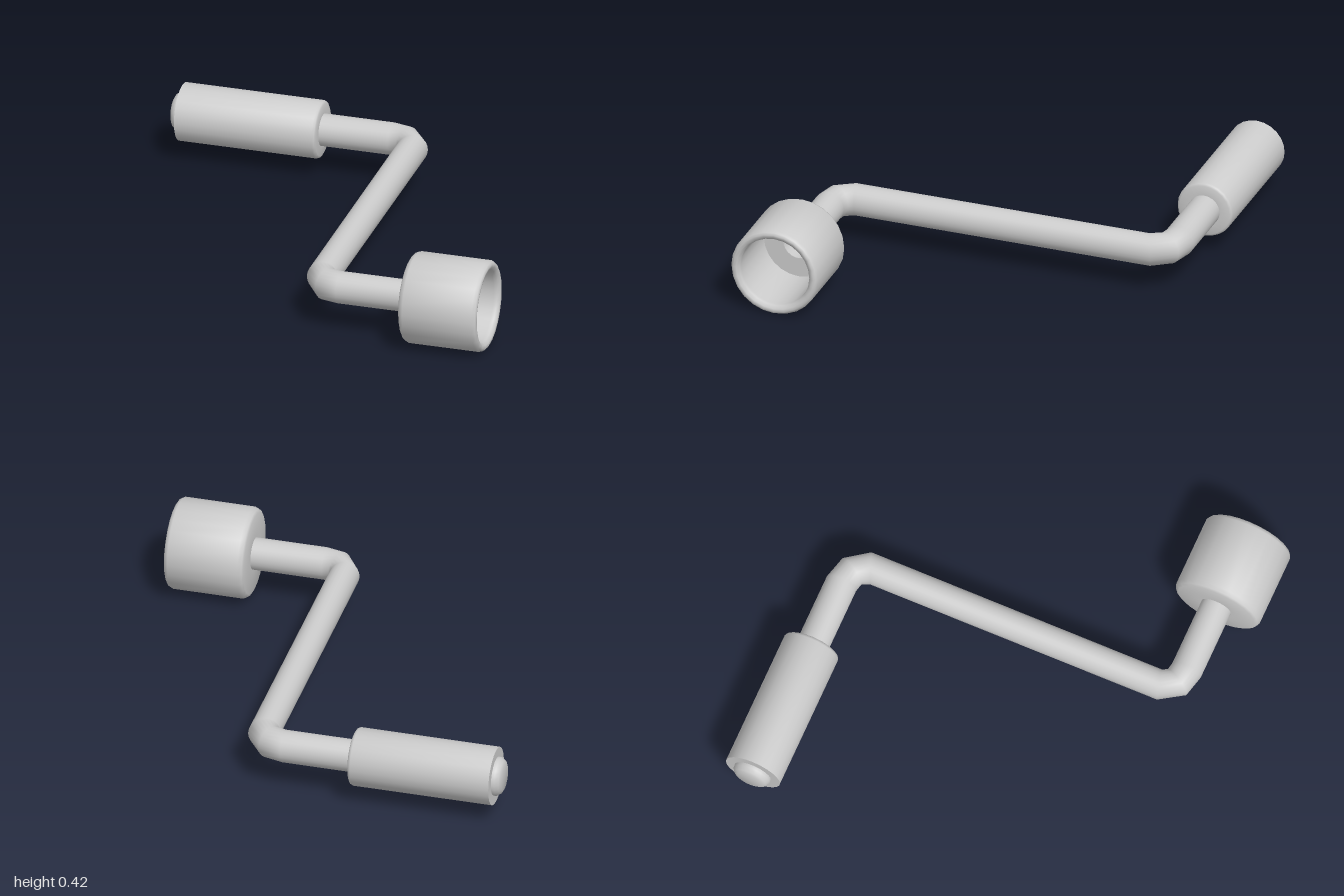
import * as THREE from 'three';
import { toCreasedNormals } from 'three/addons/utils/BufferGeometryUtils.js';

const AXIS_Y = 0.212;
const material = new THREE.MeshStandardMaterial({ color: 0xcccccc, side: THREE.DoubleSide });

// Turned part lying along x; profile entries are [radius, x]
function turned(name, profile, z) {
  const points = profile.map(([r, x]) => new THREE.Vector2(r, x));
  const geometry = new THREE.LatheGeometry(points, 24).rotateZ(-Math.PI / 2);
  const mesh = new THREE.Mesh(toCreasedNormals(geometry, 0.9), material);
  mesh.name = name;
  mesh.position.set(0, AXIS_Y, z);
  return mesh;
}

// Hollow rod through elliptical rings; each entry gives both sides as [xA, zA, xB, zB]
function bentRod(rings, radius, sides) {
  const positions = [], indices = [];
  rings.forEach(([xa, za, xb, zb], i) => {
    for (let j = 0; j < sides; j++) {
      const t = (j / sides) * Math.PI * 2, c = Math.cos(t) / 2;
      positions.push(
        (xa + xb) / 2 + c * (xa - xb),
        AXIS_Y + radius * Math.sin(t),
        (za + zb) / 2 + c * (za - zb)
      );
      if (i === rings.length - 1) continue;
      const a = i * sides + j, b = i * sides + (j + 1) % sides;
      indices.push(a, b, a + sides, b, b + sides, a + sides);
    }
  });
  const geometry = new THREE.BufferGeometry();
  geometry.setAttribute('position', new THREE.Float32BufferAttribute(positions, 3));
  geometry.setIndex(indices);
  geometry.computeVertexNormals();
  const mesh = new THREE.Mesh(geometry, material);
  mesh.name = 'crankRod';
  return mesh;
}

export function createModel() {
  const model = new THREE.Group();
  model.name = 'crankWrench';

  // Z-shaped rod with two faceted elbows
  model.add(bentRod([
    [-0.32, -0.92, -0.32, -0.77],
    [0.04, -0.92, 0.04, -0.77],
    [0.15, -0.89, 0.08, -0.76],
    [0.23, -0.78, 0.093, -0.725],
    [0.245, 0.66, 0.11, 0.695],
    [0.255, 0.683, 0.185, 0.81],
    [0.29, 0.69, 0.29, 0.836],
    [0.68, 0.69, 0.68, 0.836],
  ], 0.075, 24));

  // Hollow socket: back wall, outer wall, rounded rim, bore and floor
  model.add(turned('socket', [
    [0.073, 0.625], [0.19, 0.625], [0.203, 0.632], [0.212, 0.65],
    [0.212, 0.98], [0.205, 0.994], [0.195, 1], [0.182, 0.998],
    [0.17, 0.985], [0.168, 0.97], [0.168, 0.68], [0.077, 0.68],
  ], 0.763));

  // Grip sleeve
  model.add(turned('handleGrip', [
    [0, -0.96], [0.135, -0.96], [0.135, -0.305],
    [0.131, -0.295], [0.122, -0.29], [0.073, -0.29],
  ], -0.845));

  // Rounded button on the end of the grip
  model.add(turned('handleEndCap', [
    [0, -1], [0.062, -1], [0.078, -0.992], [0.09, -0.975], [0.09, -0.955],
  ], -0.845));

  return model;
}
